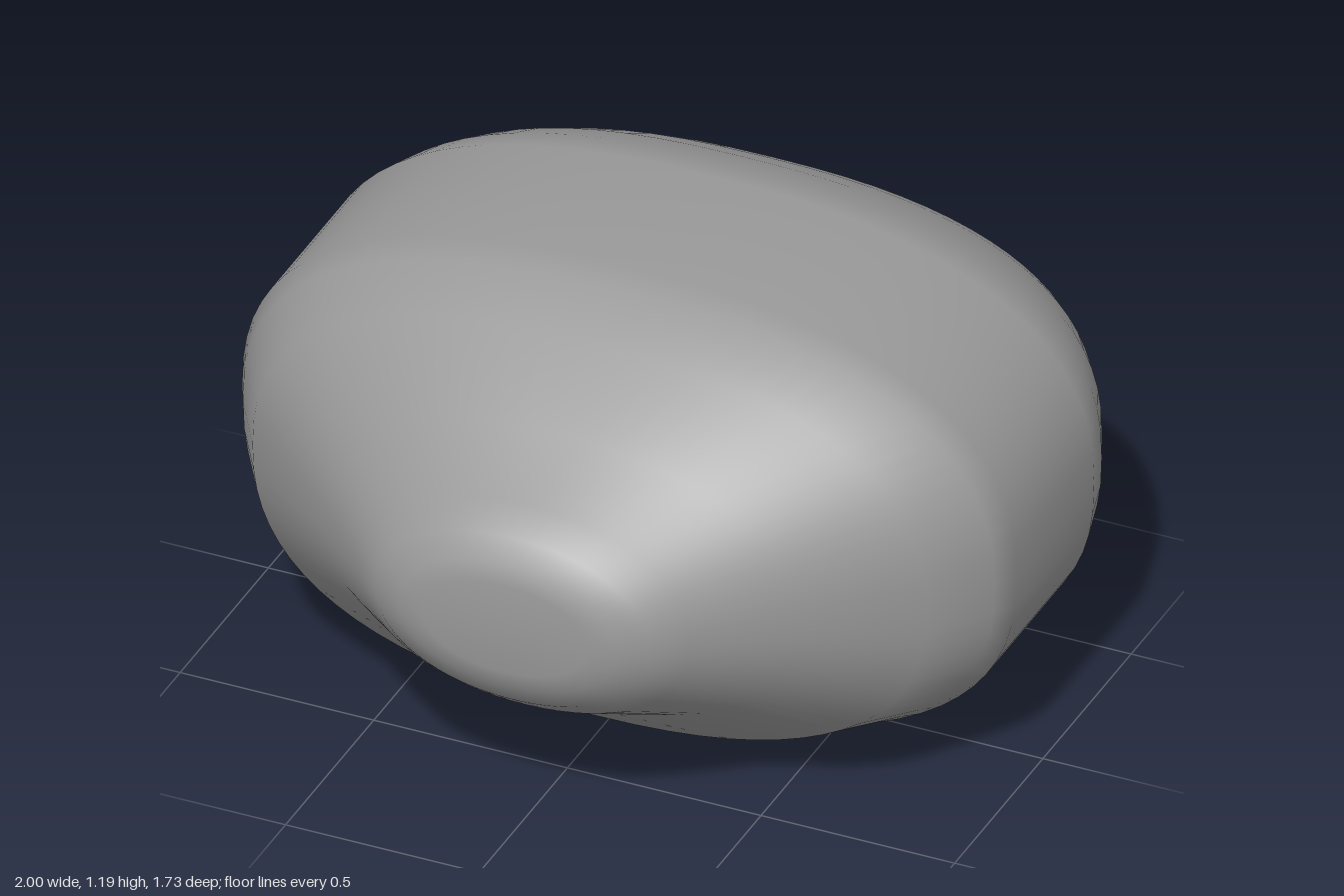
import * as THREE from 'three';

const CY = 0.597;   // height of the hull axis
const SEG = 72;

// Smooth surface through a grid of points: rows of equal length, optionally closed
function skin(rows, closed) {
  const n = rows[0].length, idx = [];
  for (let r = 0; r < rows.length - 1; r++) {
    for (let i = 0; i < (closed ? n : n - 1); i++) {
      const a = r * n + i, b = r * n + (i + 1) % n;
      idx.push(a, a + n, b, b, a + n, b + n);
    }
  }
  const g = new THREE.BufferGeometry();
  g.setAttribute('position', new THREE.Float32BufferAttribute(rows.flat(2), 3));
  g.setIndex(idx);
  g.computeVertexNormals();
  return g;
}

// Superellipse ring, boxy amidships and rounder towards the nose
function ring([z, hx, hy]) {
  const e = 0.82 + 0.14 * THREE.MathUtils.smoothstep(z, 0.3, 0.8);
  return Array.from({ length: SEG }, (_, i) => {
    const a = (i / SEG) * Math.PI * 2, c = Math.cos(a), s = Math.sin(a);
    return [hx * Math.sign(c) * Math.abs(c) ** e, CY + hy * Math.sign(s) * Math.abs(s) ** e, z];
  });
}
const loft = (rings) => skin(rings.map(ring), true);

export function createModel() {
  const group = new THREE.Group();
  const mat = new THREE.MeshStandardMaterial({ color: 0x999999 });
  const thin = new THREE.MeshStandardMaterial({ color: 0x999999, side: THREE.DoubleSide });
  const add = (name, geo, m = mat, parent = group) => {
    const mesh = new THREE.Mesh(geo, m);
    mesh.name = name;
    parent.add(mesh);
    return mesh;
  };

  // Hull from the blunt nose back to the rim of the opening
  const profile = [
    [0.86, 0.21, 0.12], [0.845, 0.28, 0.17], [0.81, 0.355, 0.225], [0.74, 0.43, 0.28],
    [0.56, 0.62, 0.37], [0.375, 0.87, 0.52], [0.21, 0.97, 0.57], [0.15, 1, 0.597],
    [-0.29, 1, 0.597], [-0.4, 0.97, 0.567], [-0.5, 0.925, 0.525], [-0.6, 0.86, 0.47],
    [-0.66, 0.81, 0.432], [-0.69, 0.775, 0.402],
  ];
  add('hull', loft([[0.86, 0, 0], ...profile]));

  // Rolled rim and cabin lining
  add('openingRim', loft([
    [-0.69, 0.775, 0.402], [-0.698, 0.765, 0.392], [-0.698, 0.752, 0.38], [-0.685, 0.745, 0.374],
  ]));
  const lining = profile.slice(3, -1).reverse().map(([z, x, y]) => [z, x - 0.03, y - 0.03]);
  add('cabinLining', loft([[-0.685, 0.745, 0.374], ...lining, [0.74, 0, 0]]));

  // Sill: the hull skin swells over the bottom of the rim and folds into the cabin.
  // Each row is [z, half width, y in the middle, y at the ends].
  const sillRows = [
    [-0.655, 0.72, 0.163, 0.35], [-0.69, 0.72, 0.196, 0.375], [-0.706, 0.71, 0.24, 0.395],
    [-0.712, 0.7, 0.3, 0.42], [-0.706, 0.69, 0.338, 0.437], [-0.685, 0.69, 0.345, 0.44],
    [-0.65, 0.69, 0.33, 0.435],
  ].map(([z, hx, mid, end]) => Array.from({ length: 33 }, (_, i) => {
    const u = i / 16 - 1;
    return [u * hx, mid + (end - mid) * (1 - Math.sqrt(1 - 0.96 * u * u)) / 0.8, z];
  }));
  add('sill', skin(sillRows, false), thin);

  // Tubular window cage behind the opening
  const cage = new THREE.Group();
  cage.name = 'windowCage';
  group.add(cage);
  const strut = (name, a, b, r = 0.009) => {
    const p = new THREE.Vector3(...a), q = new THREE.Vector3(...b), d = q.clone().sub(p);
    const mesh = add(name, new THREE.CylinderGeometry(r, r, d.length(), 8), mat, cage);
    mesh.position.copy(p).add(q).multiplyScalar(0.5);
    mesh.quaternion.setFromUnitVectors(new THREE.Vector3(0, 1, 0), d.normalize());
  };
  for (const s of [-1, 1]) {
    const side = s > 0 ? 'left' : 'right';
    const upper = [s * 0.455, 0.83, -0.82], lower = [s * 0.245, 0.38, -0.856];
    strut(side + 'CageUpright', upper, lower);
    strut(side + 'TopStrut', upper, [s * 0.27, 0.98, -0.695]);
    strut(side + 'UpperSideStrut', upper, [s * 0.75, 0.74, -0.695]);
    strut(side + 'LowerSideStrut', lower, [s * 0.75, 0.49, -0.695]);
    strut(side + 'BottomStrut', lower, [s * 0.26, 0.235, -0.695], 0.011);
  }
  strut('upperCrossbar', [-0.455, 0.83, -0.82], [0.455, 0.83, -0.82]);
  strut('lowerCrossbar', [-0.245, 0.38, -0.856], [0.245, 0.38, -0.856]);

  return group;
}
